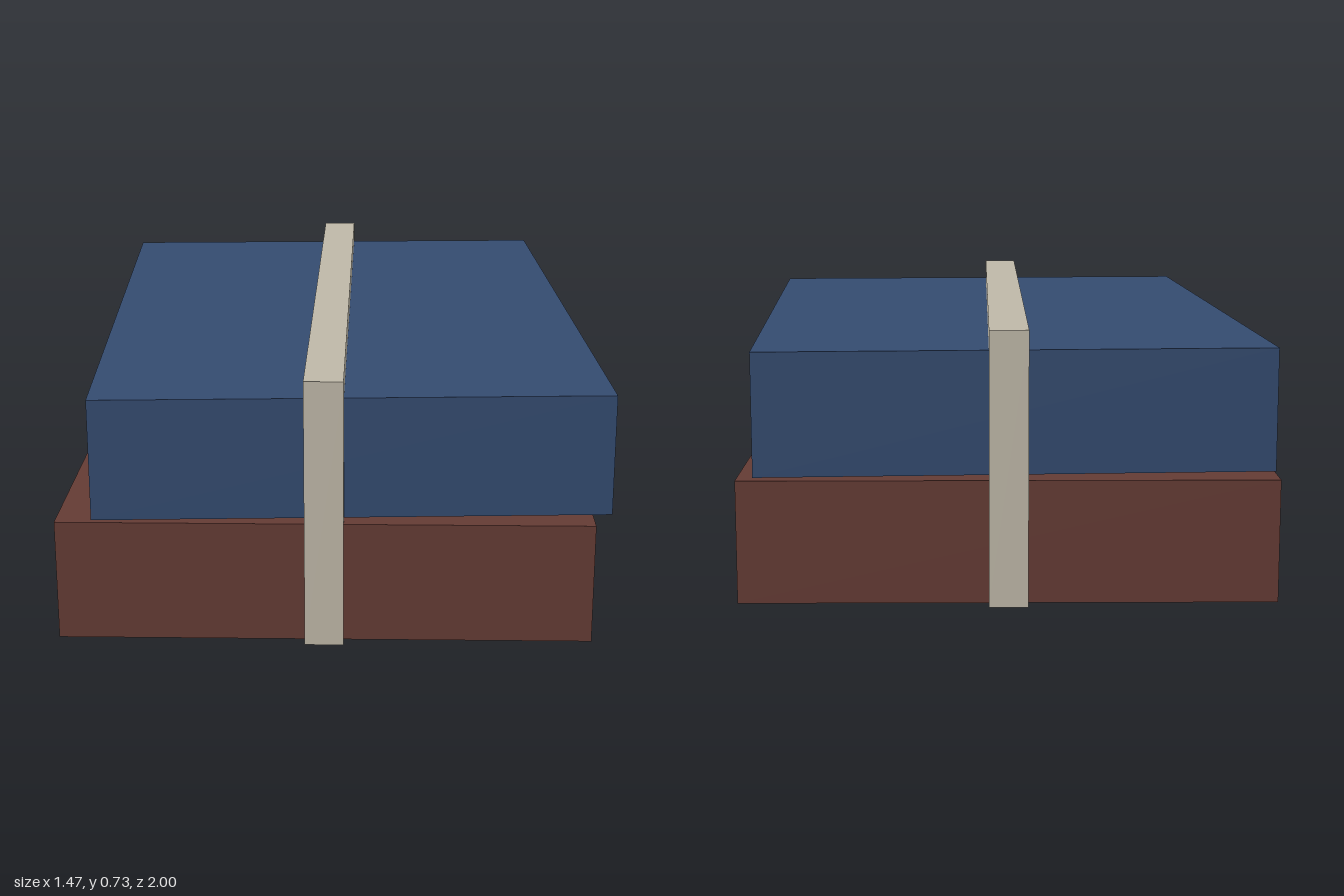
import * as THREE from 'three';

const material = (name, color) => {
  const m = new THREE.MeshStandardMaterial({ color });
  m.name = name;
  return m;
};

export function createModel() {
  const model = new THREE.Group();
  model.name = 'strappedBooks';

  const red = material('brownRed', 0x643b34);
  const blue = material('navyBlue', 0x344b70);
  const tan = material('paleTan', 0xbfb8a8);

  const addBox = (name, mat, size, position, turn = 0) => {
    const mesh = new THREE.Mesh(new THREE.BoxGeometry(...size), mat);
    mesh.name = name;
    mesh.position.set(...position);
    mesh.rotation.y = turn;
    model.add(mesh);
  };

  // Lower book, square to the axes
  addBox('lowerBook', red, [1.42, 0.328, 1.953], [-0.026, 0.17, 0]);
  // Upper book, slightly turned on top
  addBox('upperBook', blue, [1.37, 0.328, 1.91], [0, 0.509, 0], 0.05);
  // Strap wrapped lengthwise around both
  addBox('strap', tan, [0.103, 0.73, 2], [-0.027, 0.365, 0]);

  return model;
}
